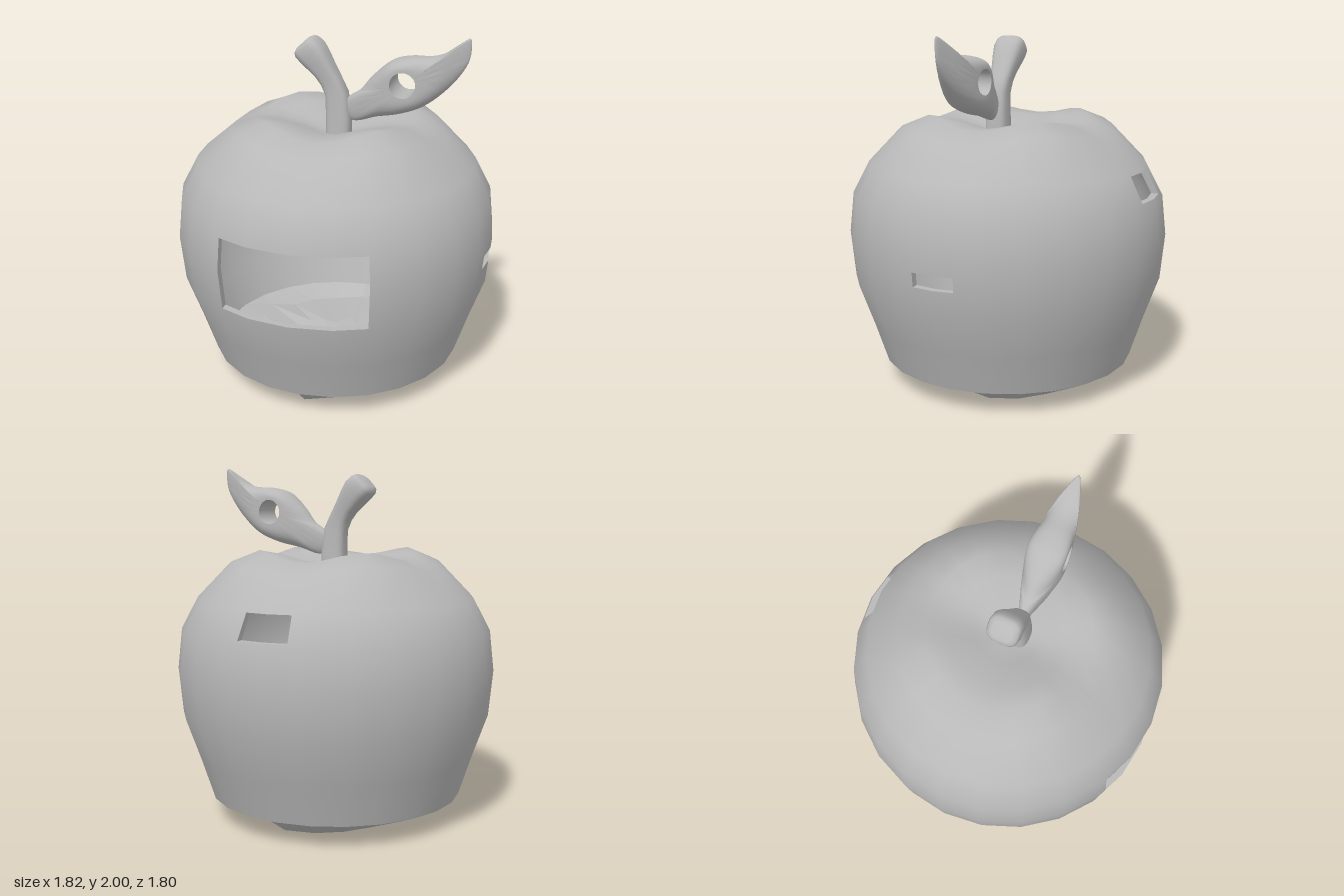
import * as THREE from 'three';

const V = (x, y, z) => new THREE.Vector3(x, y, z);

// Geometry from quads of points, optionally with one normal per point; flat otherwise
function quadGeometry(quads) {
  const pos = [], nor = [];
  for (const [q, n] of quads) {
    for (const i of [0, 1, 2, 0, 2, 3]) {
      pos.push(...q[i].toArray());
      if (n) nor.push(...n[i].toArray());
    }
  }
  const g = new THREE.BufferGeometry();
  g.setAttribute('position', new THREE.Float32BufferAttribute(pos, 3));
  if (nor.length) g.setAttribute('normal', new THREE.Float32BufferAttribute(nor, 3));
  else g.computeVertexNormals();
  return g;
}

// Smooth surface through loops of points, each loop closed
function loft(loops) {
  const n = loops[0].length, pos = [], idx = [];
  loops.forEach(l => l.forEach(p => pos.push(p.x, p.y, p.z)));
  for (let j = 0; j < loops.length - 1; j++) {
    for (let i = 0; i < n; i++) {
      const a = j * n + i, b = j * n + (i + 1) % n;
      idx.push(a, b, b + n, a, b + n, a + n);
    }
  }
  const g = new THREE.BufferGeometry();
  g.setAttribute('position', new THREE.Float32BufferAttribute(pos, 3));
  g.setIndex(idx);
  g.computeVertexNormals();
  return g;
}

// Hollow 24-sided fruit body with four raised shoulders: [outer and inner skin, rims of the openings]
function bodyGeometries() {
  const thick = 0.04, deg = Math.PI / 180;
  // radius, height, extra height on the diagonals
  const knots = [[0.725, 0.13, 0], [0.8, 0.36, 0], [0.885, 0.6, 0], [0.91, 0.86, 0], [0.885, 1.09, 0],
    [0.79, 1.27, 0], [0.6, 1.43, 0.05], [0.45, 1.485, 0.055], [0.32, 1.485, 0.03], [0.17, 1.45, 0.01],
    [0.08, 1.425, 0], [0, 1.42, 0]];
  // openings: angles from the front in degrees, heights, direction of the cut
  const openings = [[-27.1, 27.1, 0.63, 1.04, 0], [81.7, 97, 0.73, 0.81, 90], [170.4, 189.6, 1.11, 1.25, 180]];

  // each row keeps its profile point and the direction of the profile there
  const rows = knots.map((p, i) => {
    const a = knots[Math.max(i - 1, 0)], b = knots[Math.min(i + 1, knots.length - 1)];
    const len = Math.hypot(b[0] - a[0], b[1] - a[1]);
    return { p, t: p[0] === 0 ? [-1, 0, 0] : b.map((v, k) => (v - a[k]) / len) };
  });
  const mix = (a, b, f) => a.map((v, k) => v + (b[k] - v) * f);
  for (const y of openings.flatMap(o => [o[2], o[3]])) {
    const i = rows.findIndex(k => k.p[1] > y), a = rows[i - 1], b = rows[i];
    const f = (y - a.p[1]) / (b.p[1] - a.p[1]);
    rows.splice(i, 0, { p: mix(a.p, b.p, f), t: mix(a.t, b.t, f) });
  }
  const cols = Array.from({ length: 24 }, (_, i) => ({ a: i * 15 - 165, dir: i * 15 - 165 }));
  for (const o of openings) {
    for (const a of [o[0], o[1]]) cols.push({ a: a > 180 ? a - 360 : a, dir: o[4] });
    // columns inside or at the side of an opening are cut along its direction
    cols.filter(c => c.a >= o[0] && c.a <= o[1]).forEach(c => { c.dir = o[4]; });
  }
  cols.sort((c, d) => c.a - d.a);
  const C = cols.length;

  const lift = a => (1 - Math.cos(4 * a * deg)) / 2;
  const normal = (c, k) => {
    const a = cols[c % C].a, { p, t } = rows[k];
    const n = new THREE.Vector2(t[1] + t[2] * lift(a), -t[0]).normalize();
    const side = p[0] > 0 ? -n.y * p[2] * 2 * Math.sin(4 * a * deg) / p[0] : 0;
    const s = Math.sin(a * deg), co = Math.cos(a * deg);
    return V(n.x * s + side * co, n.y, n.x * co - side * s).normalize();
  };
  const point = (c, k, inner) => {
    const { a, dir } = cols[c % C], [r, y, d] = rows[k].p;
    const chord = Math.cos(7.5 * deg) / Math.cos((((a + 360) % 15) - 7.5) * deg);
    const q = V(r * chord * Math.sin(a * deg), y + d * lift(a), r * chord * Math.cos(a * deg));
    if (!inner) return q;
    // walls are thickened level, the top is thickened downward
    if (y > 1.3) return q.addScaledVector(normal(c, k), r > 0.1 ? -thick : 0).setY(q.y - (r > 0.1 ? 0 : thick));
    const w = thick / Math.cos((a - dir) * deg);
    return q.add(V(-w * Math.sin(dir * deg), 0, -w * Math.cos(dir * deg)));
  };
  const isOpen = (c, k) => {
    if (k < 0 || k >= rows.length - 1) return false;
    const a0 = cols[(c + C) % C].a;
    let a1 = cols[(c + 1 + C) % C].a;
    if (a1 < a0) a1 += 360;
    const mid = (a0 + a1) / 2, y = (rows[k].p[1] + rows[k + 1].p[1]) / 2;
    return openings.some(o => y > o[2] && y < o[3] &&
      [mid, mid + 360].some(m => m > o[0] && m < o[1]));
  };
  const skin = [], rims = [];
  for (let c = 0; c < C; c++) {
    for (let k = 0; k < rows.length - 1; k++) {
      const corners = [[c, k], [c + 1, k], [c + 1, k + 1], [c, k + 1]];
      if (!isOpen(c, k)) {
        skin.push([corners.map(p => point(...p, false)), corners.map(p => normal(...p))]);
        corners.reverse();
        skin.push([corners.map(p => point(...p, true)), corners.map(p => normal(...p).negate())]);
        continue;
      }
      const around = [[c, k - 1], [c + 1, k], [c, k + 1], [c - 1, k]];
      around.forEach((nb, e) => {
        if (isOpen(...nb)) return;
        const p = corners[e], q = corners[(e + 1) % 4];
        rims.push([[point(...p, false), point(...q, false), point(...q, true), point(...p, true)]]);
      });
    }
  }
  return [quadGeometry(skin), quadGeometry(rims)];
}

// Crumpled, faceted underside
function undersideGeometry() {
  let seed = 7;
  const rand = () => (seed = (seed * 16807) % 2147483647) / 2147483647;
  const ring = (r, dr, y, dy) => Array.from({ length: 24 }, (_, i) => {
    const a = i * Math.PI / 12, rr = r + (rand() - 0.5) * dr;
    return V(rr * Math.sin(a), y + rand() * dy, rr * Math.cos(a));
  });
  const rings = [ring(0.725, 0, 0.13, 0), ring(0.58, 0.12, 0.035, 0.06),
    ring(0.32, 0.14, 0.015, 0.05), ring(0, 0, 0.03, 0)];
  rings[2][2].y = 0;
  const quads = [];
  for (let j = 0; j < 3; j++) {
    for (let i = 0; i < 24; i++) {
      const n = (i + 1) % 24;
      quads.push([[rings[j][n], rings[j][i], rings[j + 1][i], rings[j + 1][n]]]);
    }
  }
  return quadGeometry(quads);
}

const MID_Z = 0.045; // plane of stem and leaf

// Bent stem of rounded-square sections, flaring at the end
function stemGeometry() {
  // centre x, y, half width, half depth, tilt
  const stations = [[0.03, 1.39, 0.07, 0.065, 0], [0.03, 1.52, 0.07, 0.062, 0], [0.018, 1.65, 0.063, 0.057, 0.15],
    [-0.012, 1.715, 0.058, 0.06, 0.32], [-0.045, 1.768, 0.06, 0.068, 0.48], [-0.085, 1.825, 0.071, 0.08, 0.65],
    [-0.12, 1.87, 0.08, 0.088, 0.75], [-0.152, 1.9, 0.077, 0.087, 0.77], [-0.166, 1.914, 0.067, 0.078, 0.77],
    [-0.173, 1.921, 0.045, 0.055, 0.77], [-0.174, 1.922, 0, 0, 0.77]];
  const round = v => Math.sign(v) * Math.pow(Math.abs(v), 0.65);
  return loft(stations.map(([x, y, w, d, t]) => Array.from({ length: 24 }, (_, i) => {
    const a = i * Math.PI / 12, u = round(Math.sin(a)) * w;
    return V(x + u * Math.cos(t), y + u * Math.sin(t), MID_Z + round(Math.cos(a)) * d);
  })));
}

// Plump curved leaf around a round hole: [leaf, hole wall]
function leafGeometries() {
  const cx = 0.405, cy = 1.745, hole = 0.07;
  const outline = [[0.06, 1.545], [0.11, 1.505], [0.25, 1.54], [0.38, 1.568], [0.51, 1.62], [0.645, 1.735],
    [0.735, 1.865], [0.75, 1.95], [0.742, 1.998], [0.67, 1.943], [0.6, 1.906], [0.54, 1.89], [0.435, 1.885],
    [0.33, 1.858], [0.22, 1.765], [0.15, 1.682], [0.1, 1.65], [0.06, 1.605]];
  const edge = new THREE.CatmullRomCurve3(outline.map(p => V(p[0], p[1], 0)), true).getPoints(108).slice(0, 108);
  // half thickness along the leaf
  const widths = [[0, 0.05], [0.12, 0.053], [0.24, 0.083], [0.34, 0.105], [0.45, 0.1], [0.6, 0.075], [0.78, 0.02]];
  const spline = new THREE.SplineCurve(widths.map(w => new THREE.Vector2(...w))).getPoints(120);
  const half = x => spline.find(p => p.x >= x).y;
  const loop = (s, side) => edge.map(p => {
    const a = Math.atan2(p.y - cy, p.x - cx);
    const x = THREE.MathUtils.lerp(cx + hole * Math.cos(a), p.x, s);
    const y = THREE.MathUtils.lerp(cy + hole * Math.sin(a), p.y, s);
    return V(x, y, MID_Z + side * half(x) * Math.sqrt(1 - s ** 3));
  });
  const steps = [0, 0.15, 0.3, 0.45, 0.6, 0.73, 0.84, 0.92, 0.97, 0.993];
  const back = steps.map(s => loop(s, -1)), front = steps.map(s => loop(s, 1)).reverse();
  return [loft([...back, loop(1, 0), ...front]), loft([loop(0, 1), loop(0, -1)])];
}

export function createModel() {
  const grey = new THREE.MeshStandardMaterial({ color: 0xb8b8b8, side: THREE.DoubleSide });
  grey.name = 'plain grey';
  const model = new THREE.Group();
  model.name = 'hollowApple';
  const add = (name, geometry) => {
    const mesh = new THREE.Mesh(geometry, grey);
    mesh.name = name;
    model.add(mesh);
  };
  const [skin, rims] = bodyGeometries();
  add('body', skin);
  add('openingRims', rims);
  add('underside', undersideGeometry());
  add('stem', stemGeometry());
  const [leaf, holeWall] = leafGeometries();
  add('leaf', leaf);
  add('leafHole', holeWall);
  return model;
}
